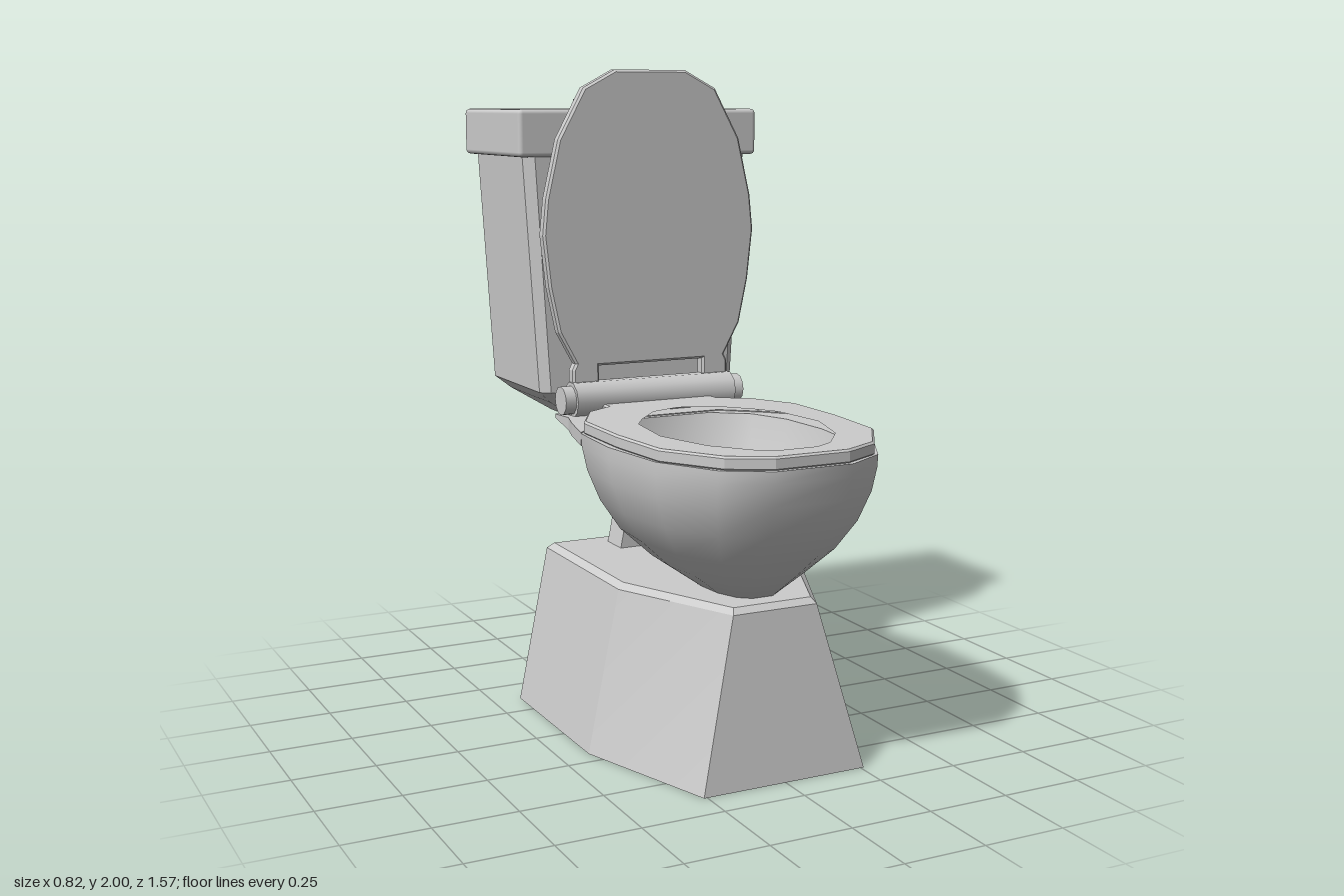
import * as THREE from 'three';
import { toCreasedNormals } from 'three/addons/utils/BufferGeometryUtils.js';
import { RoundedBoxGeometry } from 'three/addons/geometries/RoundedBoxGeometry.js';

const grey = new THREE.MeshStandardMaterial({ color: 0xcccccc });
const greyThin = new THREE.MeshStandardMaterial({ color: 0xcccccc, side: THREE.DoubleSide });

// Complete a half outline (x > 0, front to back) with its mirror image
const mirror = (half) => [...half, ...half.map(([x, z]) => [-x, z]).reverse()];
const toShape = (pts) => new THREE.Shape(pts.map(([x, y]) => new THREE.Vector2(x, y)));
const v3 = (p) => new THREE.Vector3(...p);

function add(group, name, geometry, x = 0, y = 0, z = 0, material = grey) {
  const mesh = new THREE.Mesh(geometry, material);
  mesh.name = name;
  mesh.position.set(x, y, z);
  group.add(mesh);
  return mesh;
}

// Skin a stack of rings { y, pts: [[x, z], ...] }, optionally capped
function loft(rings, crease, capStart = true, capEnd = true) {
  const n = rings[0].pts.length;
  const pos = [];
  const index = [];
  rings.forEach(({ y, pts }) => pts.forEach(([x, z]) => pos.push(x, y, z)));
  for (let i = 0; i < rings.length - 1; i++) {
    for (let j = 0; j < n; j++) {
      const k = (j + 1) % n;
      const a = i * n + j, b = i * n + k, c = b + n, d = a + n;
      index.push(a, b, c, a, c, d);
    }
  }
  const cap = (r, flip) => {
    const { y, pts } = rings[r];
    const zs = pts.map((p) => p[1]);
    const centre = pos.length / 3;
    pos.push(0, y, (Math.min(...zs) + Math.max(...zs)) / 2);
    for (let j = 0; j < n; j++) {
      const a = r * n + j, b = r * n + ((j + 1) % n);
      index.push(centre, flip ? b : a, flip ? a : b);
    }
  };
  if (capStart) cap(0, true);
  if (capEnd) cap(rings.length - 1, false);
  const g = new THREE.BufferGeometry();
  g.setAttribute('position', new THREE.Float32BufferAttribute(pos, 3));
  g.setIndex(index);
  return toCreasedNormals(g, crease);
}

// Horizontal slab cut from an (x, z) outline, its top at y = 0
function slab(shape, thick, bevel) {
  const g = new THREE.ExtrudeGeometry(shape, {
    depth: thick - 2 * bevel, bevelEnabled: bevel > 0, bevelSize: bevel,
    bevelThickness: bevel, bevelOffset: -bevel, bevelSegments: 1,
  });
  return g.translate(0, 0, bevel).rotateX(Math.PI / 2);
}

// Rectangle with chamfered corners
const chamferRect = (y, w, z0, z1, c) => ({
  y, pts: mirror([[w - c, z1], [w, z1 - c], [w, z0 + c], [w - c, z0]]),
});

// Egg-shaped bowl section
const EGG = [[0.32, 1], [0.66, 0.92], [0.92, 0.74], [1, 0.49], [0.96, 0.26], [0.8, 0.1], [0.45, 0]];
const egg = (y, w, z0, z1) => ({ y, pts: mirror(EGG.map(([x, t]) => [x * w, z0 + t * (z1 - z0)])) });

// Tube whose ends taper by a rule
function taperedTube(points, radius) {
  const curve = new THREE.CatmullRomCurve3(points.map(v3));
  const n = 24, sides = 8;
  const g = new THREE.TubeGeometry(curve, n, radius, sides);
  const p = g.attributes.position;
  const v = new THREE.Vector3();
  for (let i = 0; i <= n; i++) {
    const t = i / n, c = curve.getPointAt(t);
    const s = Math.min(1, Math.sqrt(t * 10), (1 - t) * 4);
    for (let j = 0; j <= sides; j++) {
      const k = i * (sides + 1) + j;
      v.fromBufferAttribute(p, k).sub(c).multiplyScalar(s).add(c);
      p.setXYZ(k, v.x, v.y, v.z);
    }
  }
  g.computeVertexNormals();
  return g;
}

export function createModel() {
  const model = new THREE.Group();
  model.name = 'toilet';

  // Hollow six-sided pedestal with a softened top edge
  const foot = (y, w, zs, fw, zf, zb = -0.365) => ({ y, pts: mirror([[fw, zf], [w, zs], [w, zb]]) });
  add(model, 'pedestal', loft([
    foot(0, 0.41, 0.19, 0.26, 0.645), foot(0.49, 0.31, 0.19, 0.135, 0.578),
    foot(0.507, 0.29, 0.18, 0.125, 0.56, -0.35),
  ], 0.3, false), 0, 0, 0, greyThin);

  // Bowl: up the outside, over the lip, down the inside
  add(model, 'bowl', loft([
    egg(0.505, 0.1, 0.15, 0.5), egg(0.57, 0.19, 0.0, 0.57), egg(0.65, 0.275, -0.09, 0.655),
    egg(0.74, 0.335, -0.135, 0.72), egg(0.83, 0.37, -0.17, 0.76), egg(0.9, 0.38, -0.2, 0.78),
    egg(0.937, 0.38, -0.21, 0.785), egg(0.937, 0.31, -0.1, 0.72), egg(0.76, 0.27, -0.04, 0.64),
    egg(0.64, 0.2, 0.02, 0.53), egg(0.58, 0.11, 0.1, 0.44),
  ], 0.75));

  // Rear shelf of the bowl, thinning towards its back edge
  const shelf = slab(toShape(mirror([[0.18, -0.12], [0.29, -0.03], [0.365, 0.05],
    [0.33, -0.1], [0.3, -0.2], [0.3, -0.305]])), 0.04, 0);
  const sp = shelf.attributes.position;
  for (let i = 0; i < sp.count; i++) if (sp.getZ(i) < -0.3) sp.setY(i, sp.getY(i) * 0.3 - 0.005);
  shelf.computeVertexNormals();
  add(model, 'bowlShelf', shelf, 0, 0.94, 0);

  // Seat ring
  const seat = toShape(mirror([[0.115, 0.775], [0.235, 0.71], [0.345, 0.535], [0.365, 0.3],
    [0.36, 0.06], [0.28, -0.09], [0.19, -0.145], [0.19, -0.2]]));
  seat.holes.push(new THREE.Path(mirror([[0.06, 0.705], [0.125, 0.667], [0.21, 0.555], [0.265, 0.37],
    [0.24, 0.17], [0.195, 0.1], [0.11, 0], [0.015, -0.035]]).map(([x, z]) => new THREE.Vector2(x, z))));
  add(model, 'seat', slab(seat, 0.04, 0.006), 0, 0.975, 0);

  // Raised lid with a slot above the hinge
  const lid = toShape(mirror([[0.12, 2], [0.225, 1.945], [0.31, 1.79], [0.352, 1.61], [0.363, 1.5],
    [0.345, 1.34], [0.315, 1.2], [0.26, 1.1], [0.27, 1.08], [0.27, 1.0]]));
  lid.holes.push(new THREE.Path([[0.18, 1.02], [0.18, 1.09], [-0.18, 1.09], [-0.18, 1.02]]
    .map(([x, y]) => new THREE.Vector2(x, y))));
  add(model, 'lid', new THREE.ExtrudeGeometry(lid, {
    depth: 0.026, bevelSize: 0.007, bevelOffset: -0.007, bevelThickness: 0.007, bevelSegments: 1,
  }), 0, 0, -0.261);

  // Hinge barrel with thinner pins at its ends
  const hinge = new THREE.Group();
  hinge.name = 'hinge';
  model.add(hinge);
  const rod = (r, len, sides) => toCreasedNormals(
    new THREE.CylinderGeometry(r, r, len, sides).rotateZ(Math.PI / 2), 0.9);
  add(hinge, 'hingeBarrel', rod(0.058, 0.55, 10), 0, 0.987, -0.235);
  add(hinge, 'hingePin', rod(0.045, 0.62, 12), 0, 0.987, -0.235);

  // Post carrying the pipe
  const post = new THREE.ExtrudeGeometry(
    toShape(mirror([[0.065, 0.835], [0.13, 0.5]])), { depth: 0.1, bevelEnabled: false });
  add(model, 'supportPost', post, 0, 0, -0.29);

  // Pipe from the bowl to the tank
  const pipePath = new THREE.CatmullRomCurve3([[0, 0.73, -0.03], [0, 0.73, -0.15], [0, 0.733, -0.28],
    [0, 0.77, -0.4], [0, 0.84, -0.485], [0, 0.93, -0.52]].map(v3));
  add(model, 'pipe', new THREE.TubeGeometry(pipePath, 20, 0.072, 12));

  // Tank with a tapering hopper below
  add(model, 'tank', loft([
    chamferRect(0.885, 0.17, -0.67, -0.42, 0.015), chamferRect(0.96, 0.29, -0.735, -0.345, 0.02),
    chamferRect(1.0, 0.338, -0.765, -0.312, 0.028), chamferRect(1.75, 0.385, -0.765, -0.312, 0.03),
  ], 0.3));
  add(model, 'tankLid', new RoundedBoxGeometry(0.82, 0.145, 0.485, 2, 0.014), 0, 1.808, -0.542);
  add(model, 'flushButton', toCreasedNormals(new THREE.CylinderGeometry(0.118, 0.118, 0.04, 12), 0.6),
    0, 1.892, -0.545);

  // Twisted pieces lying in the bowl
  const waste = new THREE.Group();
  waste.name = 'waste';
  model.add(waste);
  [
    [[0.085, 0.65, 0.08], [0.055, 0.64, 0.15], [0.04, 0.63, 0.22], [-0.01, 0.64, 0.265], [-0.08, 0.64, 0.275]],
    [[-0.03, 0.63, 0.08], [-0.07, 0.62, 0.13], [-0.06, 0.62, 0.21], [-0.03, 0.62, 0.28], [0.015, 0.62, 0.32]],
    [[-0.05, 0.65, 0.09], [-0.01, 0.66, 0.12], [0.025, 0.65, 0.18], [0.05, 0.62, 0.24], [0.04, 0.61, 0.29]],
  ].forEach((pts) => add(waste, 'wastePiece', taperedTube(pts, 0.022)));

  return model;
}
